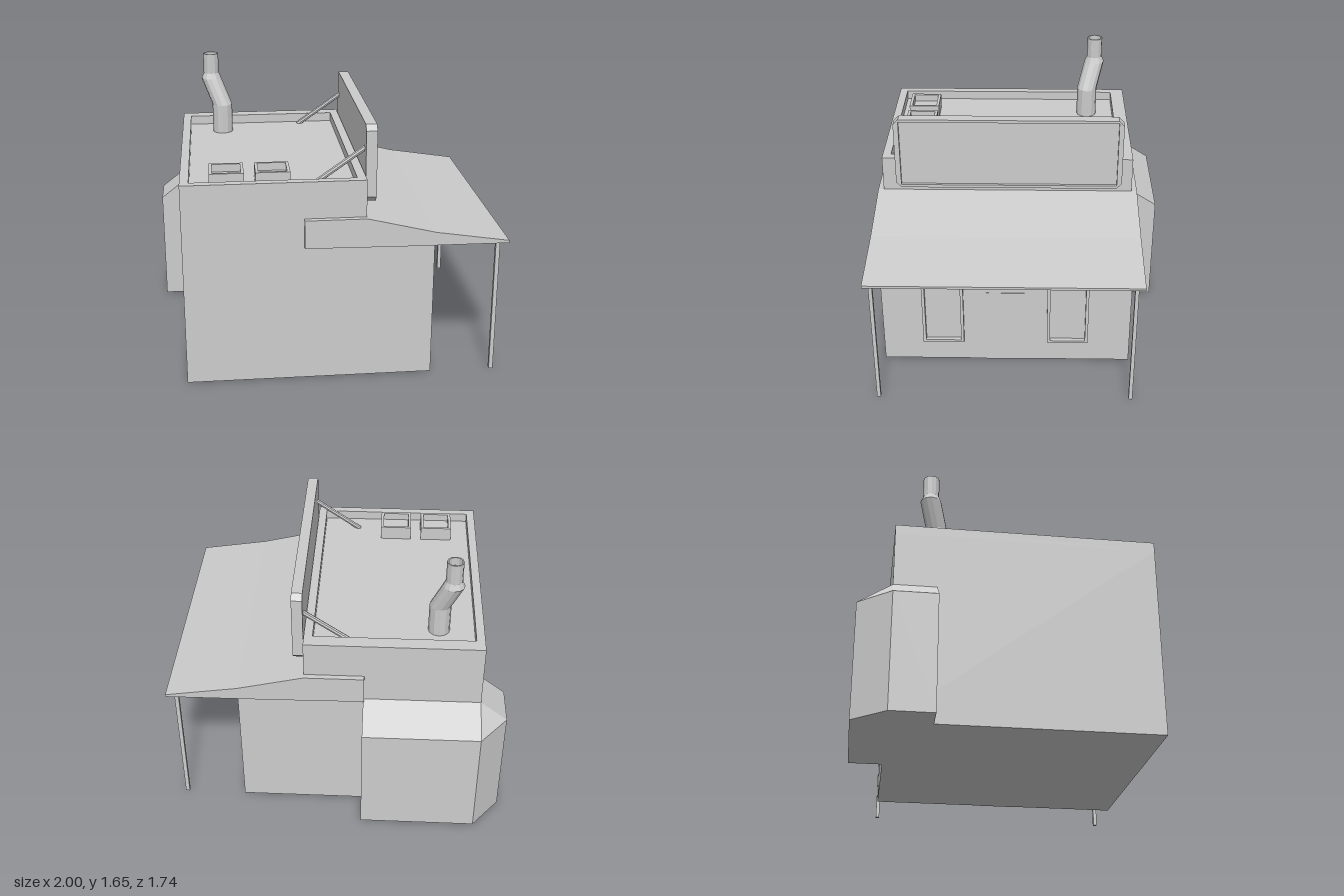
import * as THREE from 'three';

const mat = new THREE.MeshStandardMaterial({ color: 0xcccccc, flatShading: true, side: THREE.DoubleSide });

export function createModel() {
  const model = new THREE.Group();

  const add = (name, geometry) => {
    const mesh = new THREE.Mesh(geometry, mat);
    mesh.name = name;
    model.add(mesh);
    return mesh;
  };

  // Box given by its extents
  const box = (name, x0, x1, y0, y1, z0, z1) =>
    add(name, new THREE.BoxGeometry(x1 - x0, y1 - y0, z1 - z0)
      .translate((x0 + x1) / 2, (y0 + y1) / 2, (z0 + z1) / 2));

  const shapeOf = (pts) => new THREE.Shape(pts.map(([a, b]) => new THREE.Vector2(a, b)));
  const extrude = (shape, depth) => new THREE.ExtrudeGeometry(shape, { depth, bevelEnabled: false });

  // Rectangle outline with optional cut corners
  const rect = (a0, a1, b0, b1, c = 0) => c
    ? [[a0 + c, b0], [a1 - c, b0], [a1, b0 + c], [a1, b1 - c], [a1 - c, b1], [a0 + c, b1], [a0, b1 - c], [a0, b0 + c]]
    : [[a0, b0], [a1, b0], [a1, b1], [a0, b1]];
  const ring = (outer, inner, depth) => {
    const s = shapeOf(outer);
    s.holes.push(new THREE.Path(inner.map(([a, b]) => new THREE.Vector2(a, b))));
    return extrude(s, depth);
  };
  // Shape (-z, y) pushed along +x, and shape (x, -z) pushed along +y
  const alongX = (g, x) => g.rotateY(Math.PI / 2).translate(x, 0, 0);
  const alongY = (g, y) => g.rotateX(-Math.PI / 2).translate(0, y, 0);

  // Stepped building with a sunken roof
  const profile = [[-0.84, 0], [0.58, 0], [0.58, 0.83], [0.19, 0.83], [0.19, 1.145], [-0.84, 1.145]];
  add('building', extrude(shapeOf(profile), 1.51).translate(0, 0, -0.677));
  add('parapet', alongY(ring(rect(-0.84, 0.19, -0.833, 0.677), rect(-0.79, 0.14, -0.783, 0.593), 0.055), 1.145));

  // Awning
  const awning = [[-0.16, 0.82], [0.38, 0.813], [1, 0.81], [1, 0.825], [0.58, 0.89], [0.19, 0.985], [-0.16, 0.985]];
  add('awning', extrude(shapeOf(awning), 1.577).translate(0, 0, -0.71));
  for (const z of [-0.665, 0.827]) box('awningPost', 0.931, 0.955, 0, 0.815, z - 0.011, z + 0.011);

  // Door and window frames on the +x wall
  box('door', 0.57, 0.584, 0, 0.495, -0.033, 0.2);
  for (const z of [0.463, -0.295]) {
    add('windowFrame', alongX(ring(
      rect(-z - 0.125, -z + 0.125, 0.145, 0.67),
      rect(-z - 0.107, -z + 0.107, 0.16, 0.655), 0.03), 0.577));
  }

  // Sign board with a raised rim
  const board = rect(-0.745, 0.61, 1.037, 1.485, 0.032);
  add('signBoard', alongX(extrude(shapeOf(board), 0.045), 0.193));
  add('signRim', alongX(ring(board, rect(-0.714, 0.58, 1.055, 1.468), 0.018), 0.238));

  // Struts behind the sign
  for (const z of [-0.553, 0.672]) {
    const path = new THREE.LineCurve3(new THREE.Vector3(-0.085, 1.14, z), new THREE.Vector3(0.2, 1.34, z));
    add('signStrut', new THREE.TubeGeometry(path, 1, 0.015, 8));
  }

  // Open roof vents
  for (const x of [-0.582, -0.324]) {
    add('roofVent', alongY(ring(
      rect(x - 0.097, x + 0.097, -0.736, -0.545),
      rect(x - 0.08, x + 0.08, -0.718, -0.562), 0.085), 1.145));
    box('ventBase', x - 0.085, x + 0.085, 1.145, 1.185, 0.555, 0.725);
  }

  // Bent flue: rings of [centre x, y, centre z, radius], ending inside the mouth
  const rings = [
    [-0.583, 1.145, -0.423, 0.063], [-0.583, 1.326, -0.423, 0.063],
    [-0.648, 1.49, -0.468, 0.063], [-0.648, 1.525, -0.468, 0.048],
    [-0.648, 1.65, -0.468, 0.048], [-0.648, 1.65, -0.468, 0.04],
    [-0.648, 1.6, -0.468, 0.04], [-0.648, 1.6, -0.468, 0],
  ];
  const sides = 12, pos = [], idx = [];
  rings.forEach(([x, y, z, r], i) => {
    for (let j = 0; j < sides; j++) {
      const a = (j / sides) * Math.PI * 2;
      pos.push(x + r * Math.cos(a), y, z + r * Math.sin(a));
      if (i === 0) continue;
      const k = (j + 1) % sides, p = (i - 1) * sides, q = i * sides;
      idx.push(p + j, q + j, p + k, p + k, q + j, q + k);
    }
  });
  const flue = new THREE.BufferGeometry();
  flue.setAttribute('position', new THREE.Float32BufferAttribute(pos, 3));
  flue.setIndex(idx);
  flue.computeVertexNormals();
  add('flue', flue);

  // Corner lean-to: cross-sections of base, eave and ridge swept round the building corner
  const eave = [[-1, -0.43], [-1, -0.68], [-0.84, -0.872], [-0.155, -0.872]];
  const ridge = [[-0.84, -0.43], [-0.84, -0.677], [-0.84, -0.677], [-0.155, -0.677]];
  const tris = [];
  const section = (i) => [
    [eave[i][0], 0, eave[i][1]], [eave[i][0], 0.69, eave[i][1]],
    [ridge[i][0], 0.815, ridge[i][1]], [ridge[i][0], 0, ridge[i][1]],
  ];
  const quad = (a, b, c, d) => tris.push(...a, ...b, ...c, ...a, ...c, ...d);
  for (let i = 0; i < 3; i++) {
    const s = section(i), t = section(i + 1);
    for (const k of [0, 1, 3]) quad(s[k], s[(k + 1) % 4], t[(k + 1) % 4], t[k]);
  }
  quad(...section(0).reverse());
  quad(...section(3));
  const leanTo = new THREE.BufferGeometry();
  leanTo.setAttribute('position', new THREE.Float32BufferAttribute(tris, 3));
  leanTo.computeVertexNormals();
  add('leanTo', leanTo);

  return model;
}
